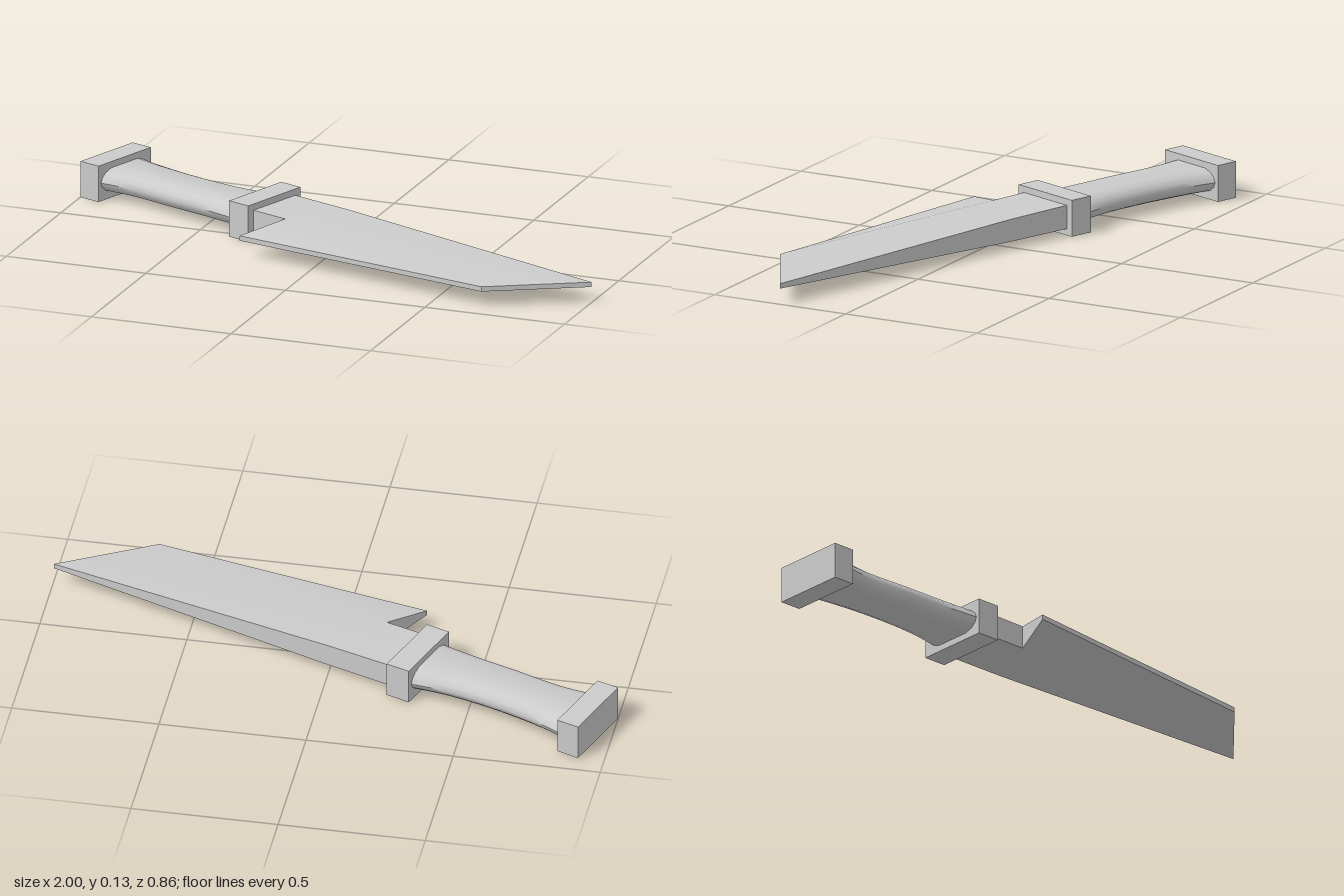
import * as THREE from 'three';
import { toCreasedNormals } from 'three/addons/utils/BufferGeometryUtils.js';

const TILT = 0.34;   // angle of the knife's long axis in plan
const MID = 0.063;   // height of the centre plane

function meshFrom(name, positions, indices, crease, material) {
  const geo = new THREE.BufferGeometry();
  geo.setAttribute('position', new THREE.Float32BufferAttribute(positions, 3));
  geo.setIndex(indices);
  const mesh = new THREE.Mesh(toCreasedNormals(geo, crease), material);
  mesh.name = name;
  return mesh;
}

// Rectangular collar set square to the long axis
function collar(name, x, z, length, material) {
  const mesh = new THREE.Mesh(new THREE.BoxGeometry(length, 0.126, 0.267), material);
  mesh.name = name;
  mesh.position.set(x, MID, z);
  mesh.rotation.y = -TILT;
  return mesh;
}

// Grip lofted between its back and belly curves
function grip(material) {
  const curve = (pts) => new THREE.CatmullRomCurve3(pts.map(([x, z]) => new THREE.Vector3(x, MID, z)));
  const back = curve([[-0.865, -0.41], [-0.835, -0.388], [-0.73, -0.33], [-0.58, -0.268], [-0.42, -0.22], [-0.28, -0.2]]);
  const belly = curve([[-0.95, -0.172], [-0.915, -0.165], [-0.81, -0.145], [-0.65, -0.085], [-0.5, -0.03], [-0.365, 0.028]]);
  // Cross-section: fraction from back to belly, and height off the centre plane
  const section = [[0, 0], [0.03, 0.017], [0.1, 0.031], [0.22, 0.041], [0.78, 0.041], [0.9, 0.031], [0.97, 0.017],
    [1, 0], [0.97, -0.017], [0.9, -0.031], [0.78, -0.041], [0.22, -0.041], [0.1, -0.031], [0.03, -0.017]];
  const steps = 15, n = section.length, pos = [], idx = [];
  for (let i = 0; i <= steps; i++) {
    const a = back.getPoint(i / steps), b = belly.getPoint(i / steps);
    for (const [f, h] of section) {
      const p = a.clone().lerp(b, f);
      pos.push(p.x, MID + h, p.z);
    }
  }
  for (let i = 0; i < steps; i++) {
    for (let k = 0; k < n; k++) {
      const a = i * n + k, d = i * n + (k + 1) % n;
      idx.push(a, d, d + n, a, d + n, a + n);
    }
  }
  return meshFrom('grip', pos, idx, 0.7, material);
}

// Blade: thick at the guard and notch, thinning to the edge and tip
function blade(material) {
  const outline = [ // x, z, half thickness
    [-0.28, -0.186, 0.041], [0, -0.09, 0.039], [1, 0.25, 0.0085], [0.675, 0.43, 0.0085],
    [-0.275, 0.215, 0.0085], [-0.165, 0.08, 0.04], [-0.31, 0.031, 0.041]];
  const n = outline.length, pos = [], idx = [];
  for (const side of [1, -1]) for (const [x, z, h] of outline) pos.push(x, MID + side * h, z);
  for (const [a, b, c] of [[0, 1, 5], [0, 5, 6], [1, 2, 3], [1, 3, 5], [5, 3, 4]]) {
    idx.push(a, c, b, a + n, b + n, c + n);
  }
  for (let i = 0; i < n; i++) {
    const j = (i + 1) % n;
    idx.push(i, j, j + n, i, j + n, i + n);
  }
  return meshFrom('blade', pos, idx, 0.5, material);
}

export function createModel() {
  const material = new THREE.MeshStandardMaterial({ color: 0xcccccc });
  const knife = new THREE.Group();
  knife.name = 'knife';
  knife.add(
    collar('pommel', -0.918, -0.293, 0.08, material),
    collar('guard', -0.3, -0.079, 0.085, material),
    grip(material),
    blade(material),
  );
  return knife;
}
